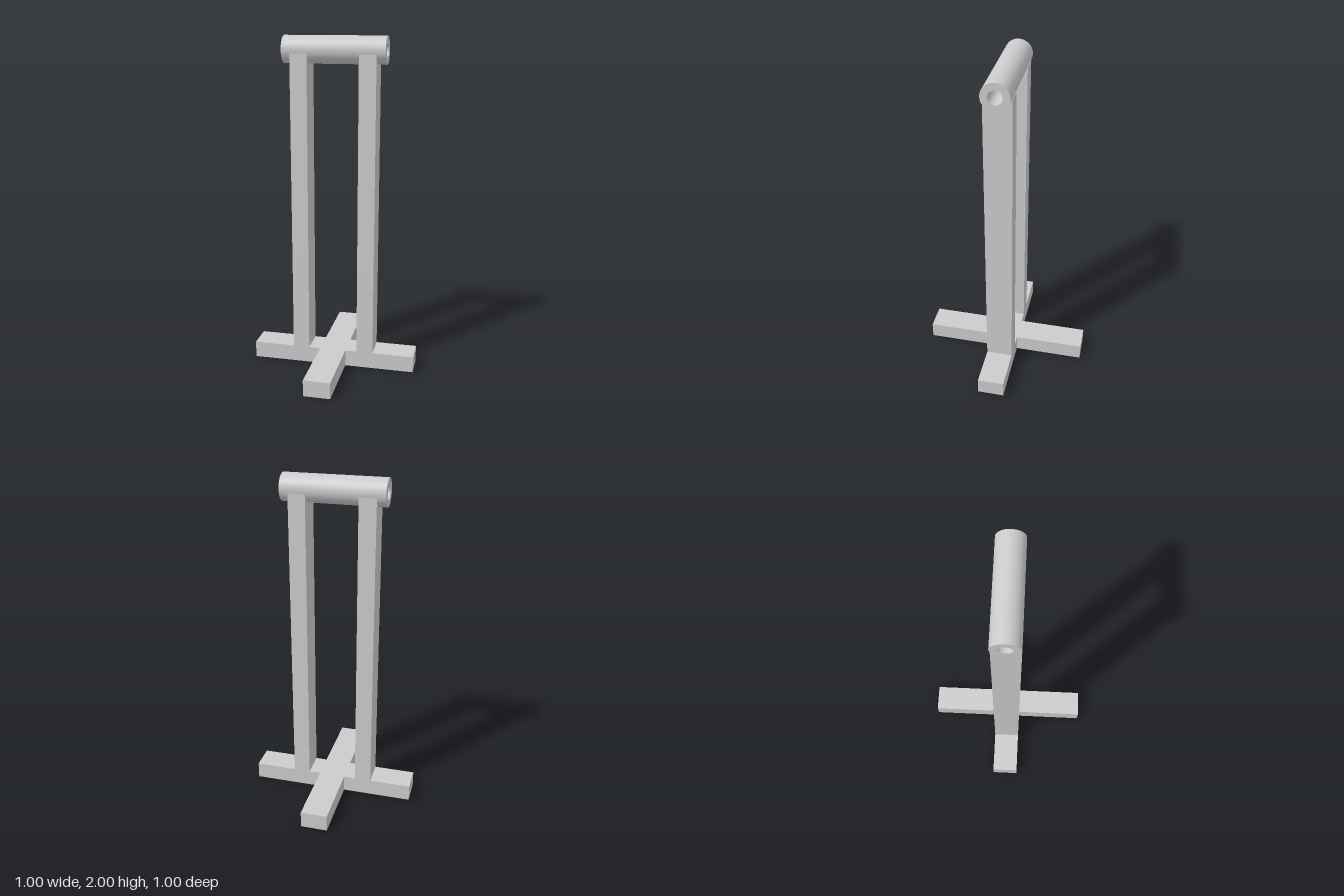
import * as THREE from 'three';

const material = new THREE.MeshStandardMaterial({ color: 0xcccccc });

function addMesh(group, name, geometry) {
  const mesh = new THREE.Mesh(geometry, material);
  mesh.name = name;
  group.add(mesh);
  return mesh;
}

export function createModel() {
  const group = new THREE.Group();
  group.name = 'stand';
  const half = 0.08; // half width of base arms and posts, outer radius of tube
  const tubeY = 1.92;

  // Cross-shaped foot, one plus outline extruded upwards
  const cross = new THREE.Shape();
  for (let i = 0; i < 4; i++) {
    const c = Math.cos(i * Math.PI / 2), s = Math.sin(i * Math.PI / 2);
    [[half, -half], [0.5, -half], [0.5, half]].forEach(([x, y], j) => {
      const px = x * c - y * s, py = x * s + y * c;
      if (i === 0 && j === 0) cross.moveTo(px, py);
      else cross.lineTo(px, py);
    });
  }
  cross.closePath();
  const foot = new THREE.ExtrudeGeometry(cross, { depth: 0.1, bevelEnabled: false });
  addMesh(group, 'crossFoot', foot.rotateX(-Math.PI / 2));

  // Two upright posts, their tops saddled to the underside of the tube
  const saddle = Math.asin(0.02 / half);
  const side = new THREE.Shape();
  side.moveTo(-half, 0.1);
  side.lineTo(half, 0.1);
  side.lineTo(half, tubeY - 0.02);
  side.absarc(0, tubeY, half, -saddle, -Math.PI + saddle, true);
  side.lineTo(-half, tubeY - 0.02);
  side.closePath();
  for (const [name, x] of [['leftPost', 0.2], ['rightPost', -0.2]]) {
    const post = new THREE.ExtrudeGeometry(side, { depth: 0.1, bevelEnabled: false, curveSegments: 24 });
    post.translate(0, 0, -0.05).rotateY(Math.PI / 2);
    addMesh(group, name, post).position.x = x;
  }

  // Hollow crossbar tube with an open bore
  const ring = new THREE.Shape();
  ring.absarc(0, 0, half, 0, Math.PI * 2, false);
  const bore = new THREE.Path();
  bore.absarc(0, 0, 0.04, 0, Math.PI * 2, true);
  ring.holes.push(bore);
  const tube = new THREE.ExtrudeGeometry(ring, { depth: 0.6, bevelEnabled: false, curveSegments: 48 });
  // Radial normals keep the curved walls smooth
  const p = tube.attributes.position, n = tube.attributes.normal;
  for (let i = 0; i < p.count; i++) {
    if (Math.abs(n.getZ(i)) > 0.5) continue;
    const r = Math.hypot(p.getX(i), p.getY(i));
    const sign = r > 0.06 ? 1 : -1;
    n.setXYZ(i, sign * p.getX(i) / r, sign * p.getY(i) / r, 0);
  }
  tube.translate(0, 0, -0.3).rotateY(Math.PI / 2);
  addMesh(group, 'crossbarTube', tube).position.y = tubeY;

  return group;
}
